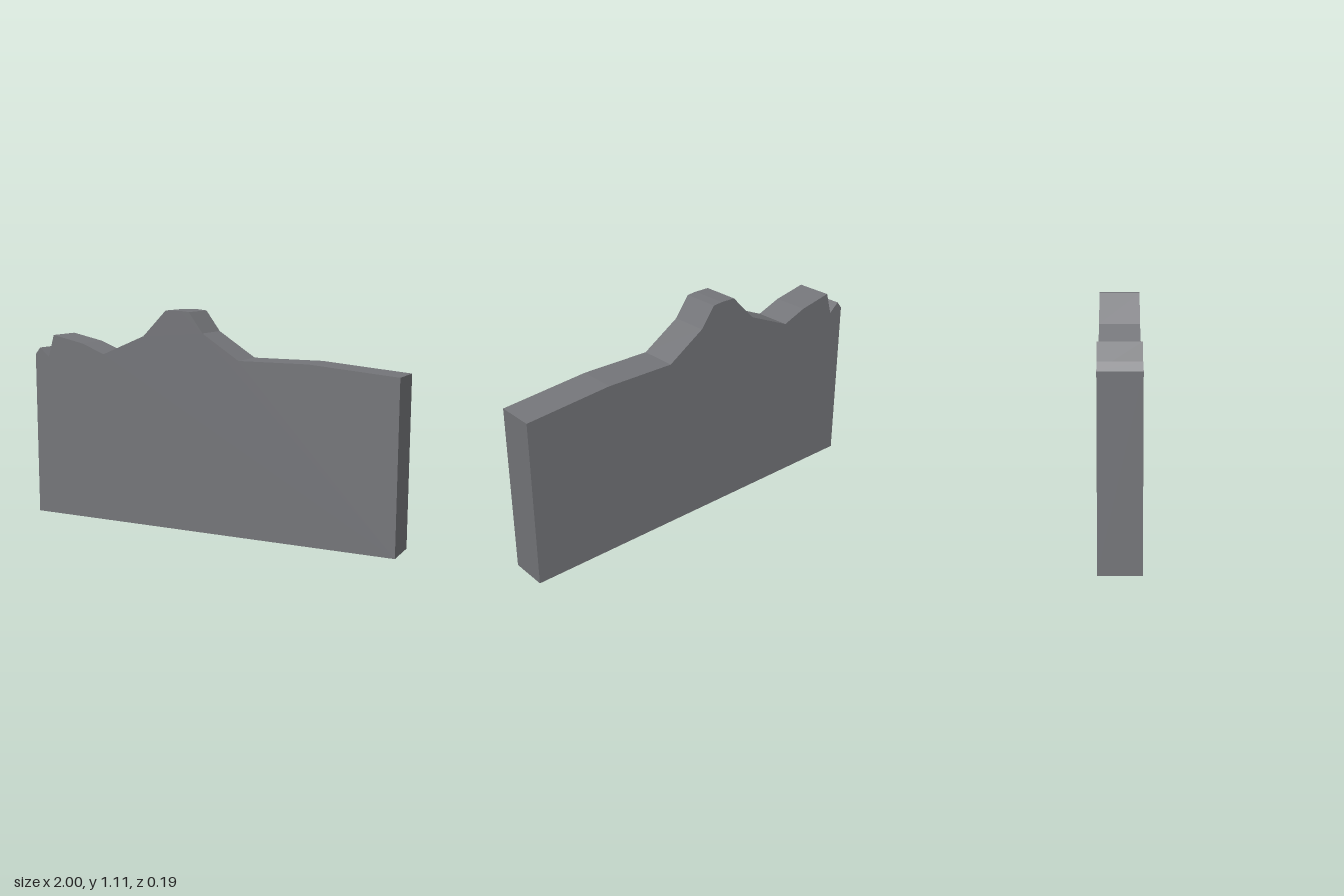
import * as THREE from 'three';

export function createModel() {
  const group = new THREE.Group();
  group.name = 'brokenWall';
  const stone = new THREE.MeshStandardMaterial({ color: 0x75767a });
  stone.name = 'grey stone';

  // Jagged top edge, from left to right
  const topEdge = [
    [-1, 0.86], [-0.97, 0.896], [-0.915, 0.849], [-0.88, 0.966], [-0.7, 0.928],
    [-0.57, 0.877], [-0.33, 0.978], [-0.2, 1.11], [-0.12, 1.11], [-0.07, 1.105],
    [0.005, 1.003], [0.2, 0.877], [0.56, 0.877], [1, 0.838],
  ];
  const outline = [[-1, 0], ...topEdge, [1, 0]].map(([x, y]) => new THREE.Vector2(x, y));

  // Slab with flat faces
  const depth = 0.19;
  const geometry = new THREE.ExtrudeGeometry(new THREE.Shape(outline), { depth, bevelEnabled: false });
  geometry.translate(0, 0, -depth / 2);
  const wall = new THREE.Mesh(geometry, stone);
  wall.name = 'wallSlab';
  group.add(wall);
  return group;
}
